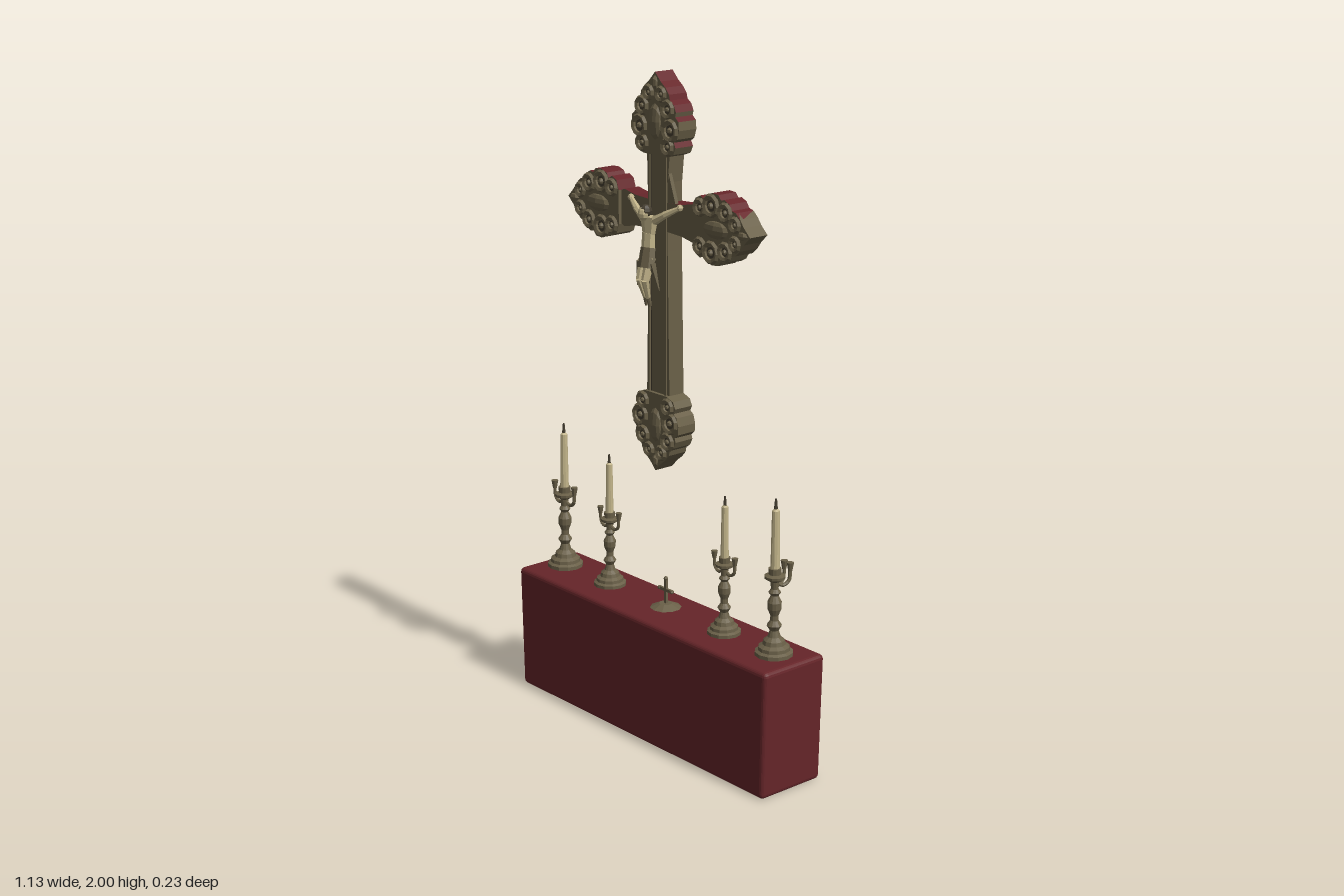
import * as THREE from 'three';
import { RoundedBoxGeometry } from 'three/addons/geometries/RoundedBoxGeometry.js';

const mat = (name, color) => {
  const m = new THREE.MeshStandardMaterial({ color });
  m.name = name;
  return m;
};

export function createModel() {
  const red = mat('dark red cloth', 0x662529);
  const bronze = mat('aged bronze', 0x6a6048);
  const cream = mat('ivory wax', 0xc2b48a);
  const dark = mat('dark bronze', 0x453e30);
  const root = new THREE.Group();
  const V = (x, y, z) => new THREE.Vector3(x, y, z);

  // Faceted mesh helper
  const add = (parent, name, geo, material, x = 0, y = 0, z = 0) => {
    const g = geo.index ? geo.toNonIndexed() : geo;
    g.computeVertexNormals();
    const m = new THREE.Mesh(g, material);
    m.name = name;
    m.position.set(x, y, z);
    parent.add(m);
    return m;
  };
  const group = (name, parent = root) => {
    const g = new THREE.Group();
    g.name = name;
    parent.add(g);
    return g;
  };
  // Tapered limb between two points
  const limb = (parent, name, a, b, ra, rb, material, sides = 7) => {
    const d = b.clone().sub(a);
    const m = add(parent, name, new THREE.CylinderGeometry(rb, ra, d.length(), sides), material);
    m.position.copy(a).add(b).multiplyScalar(0.5);
    m.quaternion.setFromUnitVectors(V(0, 1, 0), d.normalize());
    return m;
  };

  // Altar block, drawn in slightly at the foot
  const altarGeo = new RoundedBoxGeometry(1.135, 0.39, 0.232, 2, 0.014);
  const ap = altarGeo.attributes.position;
  for (let i = 0; i < ap.count; i++) {
    const k = ap.getY(i) < 0 ? 0.985 : 1;
    ap.setXYZ(i, ap.getX(i) * k, ap.getY(i), ap.getZ(i) * k);
  }
  add(root, 'altarBlock', altarGeo, red, 0, 0.195, 0);

  // Great cross: lobed finial outline as [distance from tip, half width]
  const cross = group('greatCross');
  cross.position.set(-0.007, 1.59, 0);
  const lobes = [[0.235, 0.05], [0.225, 0.078], [0.205, 0.088], [0.19, 0.08], [0.18, 0.094], [0.155, 0.102],
    [0.13, 0.1], [0.118, 0.086], [0.105, 0.09], [0.085, 0.08], [0.074, 0.064], [0.058, 0.06], [0.04, 0.044], [0.025, 0.024]];
  const arms = [[0.398, 0], [0.41, Math.PI / 2], [0.398, Math.PI], [0.76, -Math.PI / 2]];
  const turn = (pts, a) => pts.map(([x, y]) => new THREE.Vector2(
    x * Math.cos(a) - y * Math.sin(a), x * Math.sin(a) + y * Math.cos(a)));
  const mirrorList = (pts) => [...pts.map(([x, y]) => [x, -y]), ...pts.slice().reverse()];
  const finialPts = (L) => {
    const side = lobes.map(([d, w]) => [L - d, w]);
    const pts = mirrorList(side);
    pts.splice(side.length, 0, [L, 0]);
    return pts;
  };

  // Upward edges of the cross are red, the rest bronze
  const extrudeCross = (name, pts, z0, z1) => {
    const geo = new THREE.ExtrudeGeometry(new THREE.Shape(pts), { depth: z1 - z0, bevelEnabled: false });
    const n = geo.attributes.normal, p = geo.attributes.position, a = [], b = [];
    for (let i = 0; i < p.count; i += 3) {
      const up = n.getY(i) > 0.2 && p.getY(i) > -0.2 && Math.abs(p.getX(i)) < 0.35;
      (up ? b : a).push(i, i + 1, i + 2);
    }
    geo.setIndex([...a, ...b]);
    geo.clearGroups();
    geo.addGroup(0, a.length, 0);
    geo.addGroup(a.length, b.length, 1);
    const m = new THREE.Mesh(geo, [bronze, red]);
    m.name = name;
    m.position.z = z0;
    cross.add(m);
  };
  const outline = [];
  for (const [L, a] of arms) {
    const tip = finialPts(L);
    const wide = Math.abs(Math.sin(a)) < 0.5;
    const neck = wide ? [[0.1, 0.045], [0.15, 0.055]] : [[0.1, 0.042]];
    outline.push(...turn([[0.042, -0.042], ...neck.map(([x, y]) => [x, -y]), ...tip, ...neck.reverse()], a));
  }
  extrudeCross('crossBody', outline, -0.036, 0.018);

  for (const [L, a] of arms) {
    // Raised finial plate
    extrudeCross('finialPlate', turn(finialPts(L), a), 0.017, 0.029);
    // Carved scrolls and beads
    const relief = group('finialCarving', cross);
    relief.rotation.z = a;
    for (const s of [-1, 1]) {
      for (const [d, w, r] of [[0.158, 0.066, 0.027], [0.205, 0.055, 0.02], [0.1, 0.055, 0.022], [0.06, 0.027, 0.017]]) {
        add(relief, 'scroll', new THREE.TorusGeometry(r, 0.008, 5, 10), bronze, L - d, s * w, 0.031);
        add(relief, 'scrollHollow', new THREE.CircleGeometry(r * 0.62, 8), dark, L - d, s * w, 0.0305);
        add(relief, 'scrollBead', new THREE.SphereGeometry(r * 0.35, 6, 4), bronze, L - d, s * w, 0.031);
      }
    }
    const leaf = add(relief, 'centreLeaf', new THREE.SphereGeometry(1, 8, 6), bronze, L - 0.14, 0, 0.027);
    leaf.scale.set(0.055, 0.026, 0.014);
    const bud = add(relief, 'tipBud', new THREE.SphereGeometry(1, 6, 4), bronze, L - 0.03, 0, 0.028);
    bud.scale.set(0.022, 0.012, 0.01);
  }
  // Raised strips along the shaft
  for (const s of [-1, 1]) {
    add(cross, 'shaftMoulding', new THREE.BoxGeometry(0.007, 0.8, 0.006), bronze, s * 0.036, -0.16, 0.02);
    add(cross, 'shaftGroove', new THREE.BoxGeometry(0.003, 0.8, 0.002), dark, s * 0.029, -0.16, 0.018);
  }
  // Slanted brace in the upper corner
  add(cross, 'cornerBrace', new THREE.ExtrudeGeometry(new THREE.Shape(
    turn([[0.04, 0.14], [0.04, 0.035], [0.075, 0.04]], 0)), { depth: 0.012, bevelEnabled: false }), bronze, 0, 0, 0.005);

  // Figure on the cross
  const fig = group('crossFigure');
  fig.position.x = -0.007;
  const head = add(fig, 'head', new THREE.SphereGeometry(0.017, 8, 6), cream, -0.004, 1.602, 0.068);
  head.scale.y = 1.25;
  add(fig, 'hair', new THREE.SphereGeometry(0.019, 8, 6), dark, -0.003, 1.609, 0.062);
  limb(fig, 'chest', V(0, 1.54, 0.052), V(0, 1.592, 0.05), 0.023, 0.034, cream).scale.z = 0.6;
  limb(fig, 'waist', V(0, 1.485, 0.055), V(0, 1.545, 0.052), 0.025, 0.023, cream).scale.z = 0.7;
  limb(fig, 'loincloth', V(0.004, 1.445, 0.066), V(0, 1.502, 0.054), 0.031, 0.026, bronze).scale.z = 0.7;
  for (const s of [-1, 1]) {
    limb(fig, 'upperArm', V(s * 0.022, 1.583, 0.05), V(s * 0.064, 1.606, 0.044), 0.014, 0.01, cream);
    limb(fig, 'forearm', V(s * 0.06, 1.604, 0.045), V(s * 0.104, 1.627, 0.03), 0.011, 0.007, cream);
    add(fig, 'hand', new THREE.SphereGeometry(0.01, 6, 4), cream, s * 0.107, 1.629, 0.029);
    limb(fig, 'thigh', V(s * 0.013, 1.475, 0.058), V(s * 0.012, 1.41, 0.077), 0.016, 0.012, cream);
    limb(fig, 'shin', V(s * 0.012, 1.412, 0.077), V(s * 0.006, 1.355, 0.06), 0.012, 0.007, cream);
    limb(fig, 'foot', V(s * 0.006, 1.358, 0.06), V(s * 0.009, 1.332, 0.055), 0.008, 0.004, bronze);
    limb(fig, 'clothTail', V(s * 0.026, 1.46, 0.062), V(s * 0.048, 1.385, 0.055), 0.012, 0.002, bronze, 5);
  }

  // Candlesticks: turned stem, branch arms, candle
  const stem = [[0, 0], [0.056, 0], [0.056, 0.012], [0.047, 0.017], [0.046, 0.027], [0.034, 0.034], [0.031, 0.046],
    [0.019, 0.056], [0.013, 0.075], [0.022, 0.09], [0.012, 0.105], [0.012, 0.12], [0.02, 0.14], [0.021, 0.16],
    [0.011, 0.18], [0.018, 0.19], [0.011, 0.2], [0.013, 0.222], [0.03, 0.232], [0.031, 0.24], [0.018, 0.244],
    [0.019, 0.262], [0, 0.262]].map(([x, y]) => new THREE.Vector2(x, y));
  const candlestick = (name, x, k, angles) => {
    const g = group(name);
    g.position.set(x, 0.389, -0.006);
    g.scale.set(k, k, k);
    add(g, 'stem', new THREE.LatheGeometry(stem, 12), bronze);
    add(g, 'candle', new THREE.CylinderGeometry(0.011, 0.0135, 0.175, 10), cream, 0, 0.345, 0);
    add(g, 'candleTip', new THREE.ConeGeometry(0.011, 0.012, 10), cream, 0, 0.438, 0);
    add(g, 'wick', new THREE.CylinderGeometry(0.003, 0.006, 0.032, 6), dark, 0, 0.452, 0);
    for (const a of angles) {
      const arm = group('branch', g);
      arm.rotation.y = a;
      const path = new THREE.CatmullRomCurve3([V(0.008, 0.215, 0), V(0.025, 0.206, 0), V(0.045, 0.217, 0), V(0.049, 0.25, 0)]);
      add(arm, 'branchArm', new THREE.TubeGeometry(path, 8, 0.0055, 6), bronze);
      add(arm, 'branchCup', new THREE.CylinderGeometry(0.011, 0.006, 0.026, 8), bronze, 0.049, 0.258, 0);
    }
  };
  candlestick('outerCandlestickRight', -0.487, 1, [0, Math.PI]);
  candlestick('outerCandlestickLeft', 0.472, 1, [Math.PI * 0.42, Math.PI * 0.58]);
  candlestick('innerCandlestickRight', -0.265, 0.9, [0, Math.PI]);
  candlestick('innerCandlestickLeft', 0.26, 0.9, [0, Math.PI]);

  // Small standing cross
  const small = group('smallCross');
  small.position.set(-0.008, 0.389, -0.012);
  add(small, 'smallBase', new THREE.CylinderGeometry(0.02, 0.05, 0.014, 10), bronze, 0, 0.007, 0);
  add(small, 'smallUpright', new THREE.BoxGeometry(0.009, 0.085, 0.008), bronze, 0, 0.05, 0);
  add(small, 'smallBar', new THREE.BoxGeometry(0.056, 0.009, 0.008), bronze, 0, 0.056, 0);
  for (const [x, y] of [[-0.028, 0.056], [0.028, 0.056], [0, 0.092]])
    add(small, 'smallKnob', new THREE.SphereGeometry(0.007, 6, 4), bronze, x, y, 0);

  return root;
}
